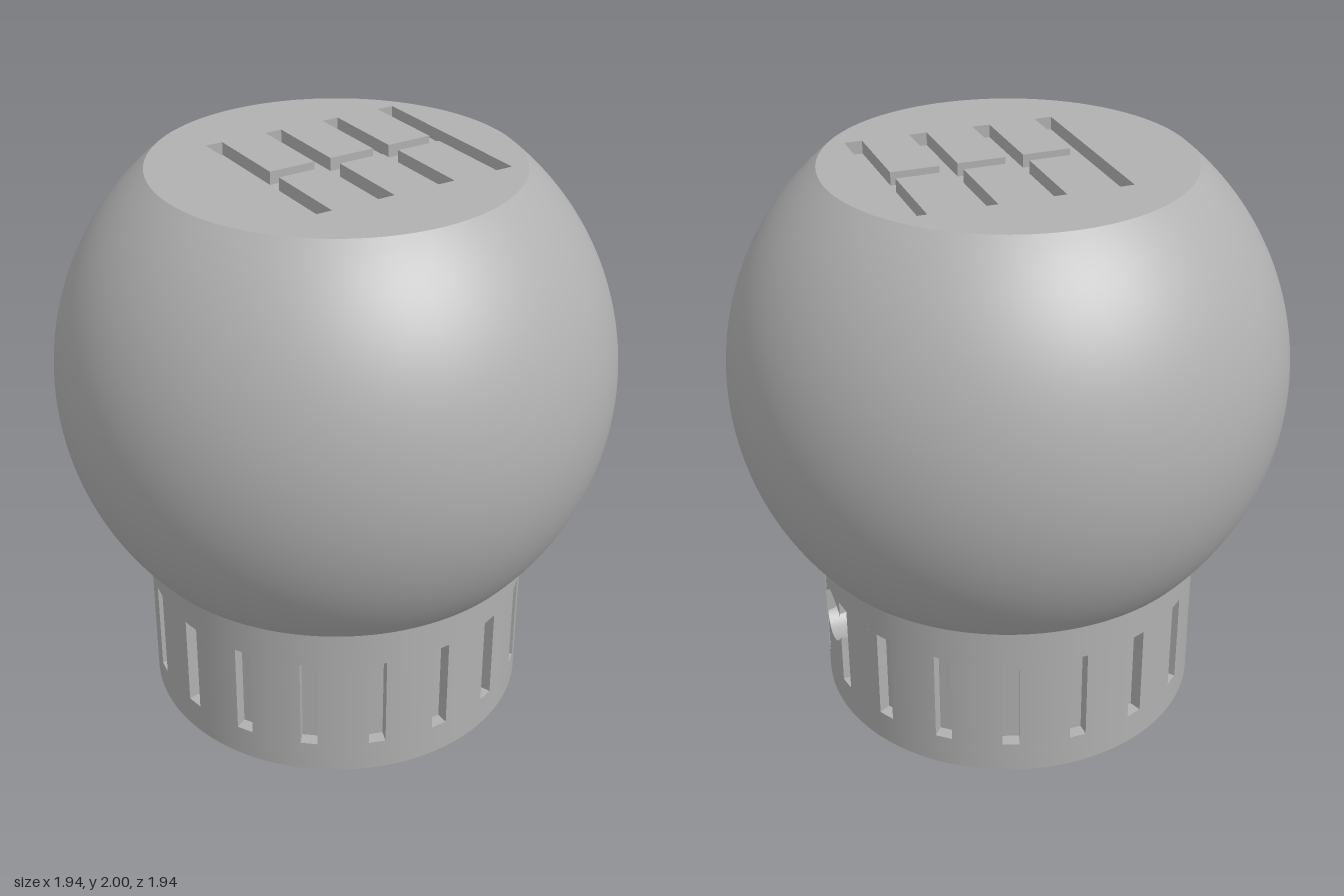
import * as THREE from 'three';
import { toCreasedNormals } from 'three/addons/utils/BufferGeometryUtils.js';

const R = 0.685, BORE = 0.23, NECK = 0.635;          // collar radius, bore radius, collar height
const SLOT_LOW = 0.115, SLOT_HIGH = 0.46, HALF = 0.03, DEPTH = 0.045;
const HOLE_Y = 0.35, HOLE_R = 0.1;
const STEP = Math.PI / 9, EDGE = Math.asin(HALF / R); // slot spacing, half slot angle
const V = (x, y) => new THREE.Vector2(x, y);

export function createModel() {
  const model = new THREE.Group();
  const grey = new THREE.MeshStandardMaterial({ color: 0xb0b0b0 });
  grey.name = 'satin grey';

  const add = (name, geometry, parent = model) => {
    const mesh = new THREE.Mesh(geometry, grey);
    mesh.name = name;
    parent.add(mesh);
    return mesh;
  };
  const lathe = (pts) => toCreasedNormals(new THREE.LatheGeometry(pts, 144), 0.5);

  // Move each vertex of a geometry by a rule
  const reshape = (geometry, rule) => {
    const p = geometry.attributes.position, v = new THREE.Vector3();
    for (let i = 0; i < p.count; i++) {
      rule(v.fromBufferAttribute(p, i));
      p.setXYZ(i, v.x, v.y, v.z);
    }
    geometry.computeVertexNormals();
    return geometry;
  };

  // Sunken pocket: inward walls along a counter-clockwise outline, plus a floor
  const pocket = (name, outline, isOpen = () => false) => {
    const group = new THREE.Group();
    group.name = name;
    const corners = [];
    outline.forEach((a, i) => {
      const b = outline[(i + 1) % outline.length];
      if (isOpen(a) && isOpen(b)) return;
      corners.push(a.x, a.y, 0, b.x, b.y, 0, b.x, b.y, -DEPTH);
      corners.push(a.x, a.y, 0, b.x, b.y, -DEPTH, a.x, a.y, -DEPTH);
    });
    const walls = new THREE.BufferGeometry();
    walls.setAttribute('position', new THREE.Float32BufferAttribute(corners, 3));
    walls.computeVertexNormals();
    add(name + 'Walls', walls, group);
    const floor = new THREE.ShapeGeometry(new THREE.Shape(outline));
    add(name + 'Floor', floor.translate(0, 0, -DEPTH), group);
    model.add(group);
    return group;
  };

  // Round grip, cut flat at top and bottom, with the collar's upper band
  const ballR = 0.97, ballY = 1.258;
  const a0 = Math.asin((NECK - ballY) / ballR), a1 = Math.asin((2 - ballY) / ballR);
  const grip = [V(R, SLOT_HIGH), V(R, NECK)];
  for (let i = 0; i <= 48; i++) {
    const a = a0 + (a1 - a0) * i / 48;
    grip.push(V(ballR * Math.cos(a), ballY + ballR * Math.sin(a)));
  }
  add('grip', lathe(grip));

  // Blind bore, underside and the collar's lower band
  add('collarBase', lathe([V(0, 1.25), V(BORE, 1.25), V(BORE, 0), V(R, 0), V(R, SLOT_LOW)]));

  // Shift pattern sunk in the flat top: four rails joined by a crossbar
  const half = [];
  for (const c of [-0.26, -0.031, 0.197, 0.425]) {
    half.push(V(c - 0.031, -0.029), V(c - 0.031, -0.347), V(c + 0.031, -0.347), V(c + 0.031, -0.029));
  }
  const pattern = [...half, ...half.map((p) => V(p.x, -p.y)).reverse()];
  pattern.forEach((p) => { p.y += 0.005; });
  const face = new THREE.Shape().absarc(0, 0, ballR * Math.cos(a1), 0, Math.PI * 2);
  face.holes.push(new THREE.Path(pattern));
  const top = add('topFace', new THREE.ShapeGeometry(face, 72));
  const groove = pocket('shiftGroove', pattern);
  for (const part of [top, groove]) {
    part.rotation.x = -Math.PI / 2;
    part.position.y = 2;
  }

  // Eighteen slots around the collar, with the wall between them
  const midY = (SLOT_LOW + SLOT_HIGH) / 2, H = (SLOT_HIGH - SLOT_LOW) / 2;
  const slotR = Math.sqrt(R * R - HALF * HALF), floorR = slotR - DEPTH;
  const tilt = STEP / 2, holeY = HOLE_Y - midY;
  const plain = [V(-HALF, -H), V(HALF, -H), V(HALF, H), V(-HALF, H)];

  // The two slots beside the screw hole lose a bite on one side
  const biteHalf = Math.acos((floorR * Math.sin(tilt) - HALF * Math.cos(tilt)) / HOLE_R);
  const bitten = [...plain];
  for (let i = 0; i <= 12; i++) {
    const a = biteHalf * (1 - i / 6);
    bitten.push(V((HOLE_R * Math.cos(a) - floorR * Math.sin(tilt)) / Math.cos(tilt),
      holeY + HOLE_R * Math.sin(a)));
  }
  const mirrored = bitten.map((p) => V(-p.x, p.y)).reverse();
  const isOpen = (p) => Math.abs(p.y - holeY) < 0.06;

  for (let k = 0; k < 18; k++) {
    const angle = k * STEP;
    const outline = k === 4 ? mirrored : k === 5 ? bitten : plain;
    const slot = pocket('slot', outline, isOpen);
    slot.rotation.y = angle;
    slot.position.set(slotR * Math.sin(angle), midY, slotR * Math.cos(angle));
    if (k === 4) continue;
    const wall = new THREE.CylinderGeometry(R, R, 2 * H, 8, 1, true, angle + EDGE, STEP - 2 * EDGE);
    add('collarWall', wall.translate(0, midY, 0));
  }

  // Collar wall below and above the screw hole
  for (const upper of [false, true]) {
    add('holeSurround', reshape(new THREE.PlaneGeometry(1, 1, 20, 1), (v) => {
      const a = Math.PI / 2 + v.x * (STEP - 2 * EDGE);
      const z = R * Math.cos(a), lift = Math.sqrt(HOLE_R ** 2 - z * z);
      const high = v.y > 0;
      const y = upper ? (high ? SLOT_HIGH : HOLE_Y + lift) : (high ? HOLE_Y - lift : SLOT_LOW);
      v.set(R * Math.sin(a), y, z);
    }));
  }

  // Radial screw hole from the collar wall into the bore, seen from inside
  const edgeZ = R * Math.sin(tilt - EDGE);
  const tube = new THREE.CylinderGeometry(HOLE_R, HOLE_R, 1, 64, 1, true);
  tube.rotateZ(-Math.PI / 2).scale(-1, 1, 1);
  add('screwHole', reshape(tube, (v) => {
    const z = Math.abs(v.z);
    const skin = Math.sqrt(R * R - z * z);
    const slotFloor = (floorR - z * Math.sin(tilt)) / Math.cos(tilt);
    v.x = v.x < 0 ? Math.sqrt(BORE * BORE - z * z) : z < edgeZ ? skin : slotFloor;
    v.y += HOLE_Y;
  }));

  return model;
}
